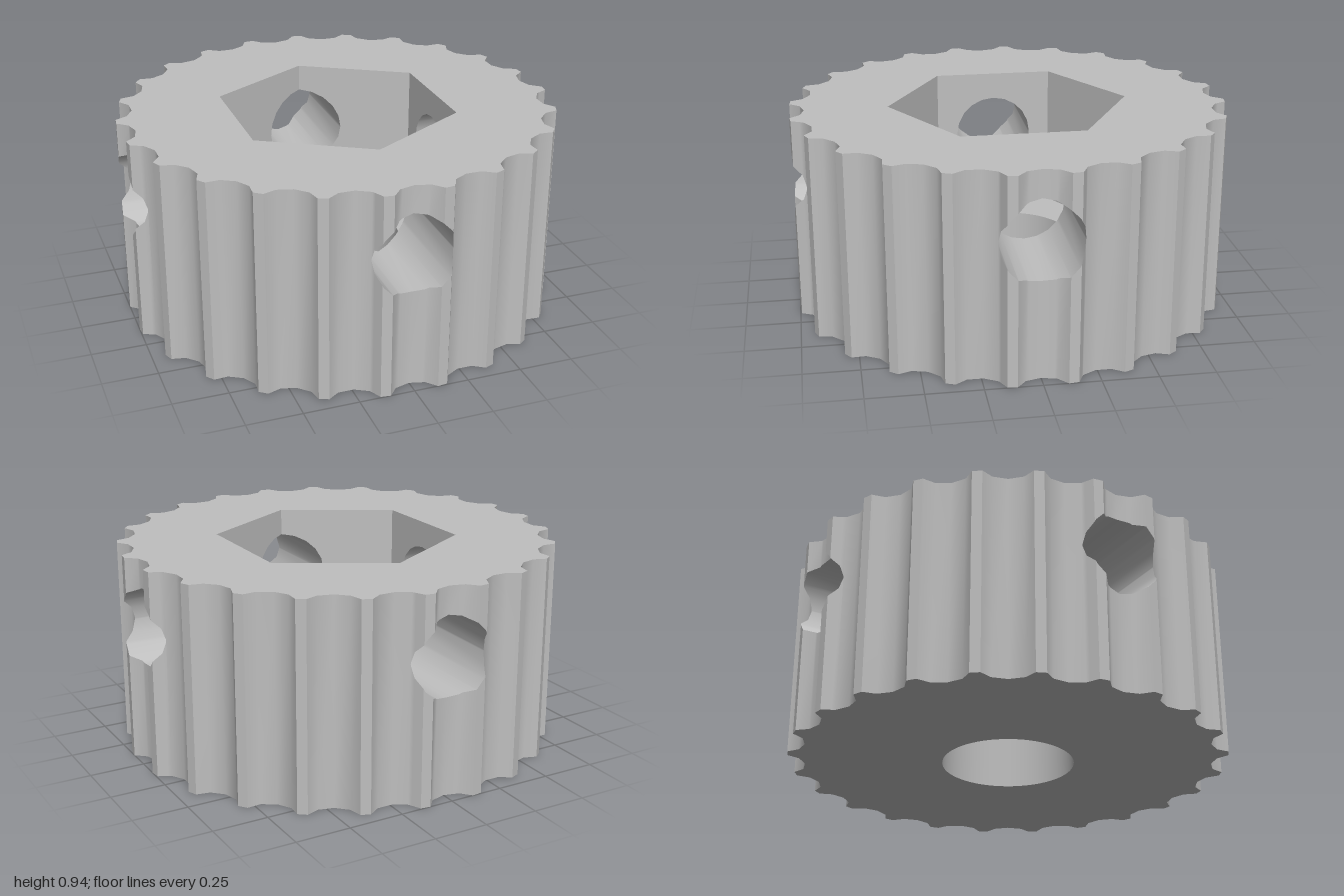
import * as THREE from 'three';
import { toCreasedNormals } from 'three/addons/utils/BufferGeometryUtils.js';

const HEIGHT = 0.94, FLOOR = 0.265, BORE = 0.303;
const HOLE_Y = 0.633, HOLE_R = 0.182, HOLE_SIDES = 20, FLUTES = 24;

// Half of one flute in plan: [sideways, outward] from its bottom to the tooth corner
const FLUTE = [[0, 0.935], [0.068, 0.953], [0.109, 1.0]];

// Plan loops of [x, z], running from +z towards +x
function outerLoop() {
  const profile = [...FLUTE.slice(1).reverse().map(([s, d]) => [-s, d]), ...FLUTE];
  const loop = [];
  for (let i = 0; i < FLUTES; i++) {
    const a = (i / FLUTES) * Math.PI * 2, c = Math.cos(a), n = Math.sin(a);
    for (const [s, d] of profile) loop.push([s * c + d * n, d * c - s * n]);
  }
  return loop;
}
const HEX = [[0, 0.555], [0.48, 0.2775], [0.48, -0.2775], [0, -0.555], [-0.48, -0.2775], [-0.48, 0.2775]];

// Upper corners of the side hole as [sideways, half height], from left to right
const arch = [];
for (let k = HOLE_SIDES / 2; k >= 0; k--) {
  const a = (k / HOLE_SIDES) * Math.PI * 2;
  arch.push([HOLE_R * Math.cos(a), HOLE_R * Math.sin(a)]);
}

// Straight-line interpolation along a list of [u, v]
function along(list, u) {
  for (let i = 1; i < list.length; i++) {
    const [u0, v0] = list[i - 1], [u1, v1] = list[i];
    if (u <= u1 + 1e-9) return v0 + (v1 - v0) * (u - u0) / (u1 - u0);
  }
  return list[list.length - 1][1];
}

const outer = outerLoop();

// Outer wall in front of one hole, as outward distance against sideways offset
const face = outer.filter(([x, z]) => z > 0.8 && Math.abs(x) < 0.3).sort((a, b) => a[0] - b[0]);

// Sideways offsets at which the walls and tunnels are sliced
const cuts = [...arch.map((p) => p[0]), ...face.map((p) => p[0]).filter((u) => Math.abs(u) < HOLE_R)]
  .sort((a, b) => a - b)
  .filter((u, i, list) => i === 0 || u - list[i - 1] > 1e-6);

const halfHeight = (x, z) => {
  const u = Math.min(Math.abs(x), Math.abs(z));
  return u < HOLE_R - 1e-6 ? along(arch, u) : 0;
};

const quad = (out, a, b, c, d) => out.push(...a, ...b, ...c, ...a, ...c, ...d);

function toGeometry(positions) {
  const geometry = new THREE.BufferGeometry();
  geometry.setAttribute('position', new THREE.Float32BufferAttribute(positions, 3));
  return toCreasedNormals(geometry, 0.6);
}

// Upright wall over a plan loop, left open where the four side holes pass
function wallGeometry(loop, y0, y1) {
  const out = [];
  loop.forEach((a, i) => {
    const b = loop[(i + 1) % loop.length];
    const ts = [0, 1];
    for (const axis of [0, 1]) {
      const run = b[axis] - a[axis];
      if (Math.abs(run) < 1e-6) continue;
      for (const u of cuts) {
        const t = (u - a[axis]) / run;
        if (t > 1e-4 && t < 1 - 1e-4) ts.push(t);
      }
    }
    ts.sort((p, q) => p - q);
    for (let k = 1; k < ts.length; k++) {
      const [p, q] = [ts[k - 1], ts[k]].map((t) => [a[0] + (b[0] - a[0]) * t, a[1] + (b[1] - a[1]) * t]);
      const hp = halfHeight(...p), hq = halfHeight(...q);
      const at = ([x, z], y) => [x, y, z];
      if (hp === 0 && hq === 0) {
        quad(out, at(p, y0), at(q, y0), at(q, y1), at(p, y1));
      } else {
        quad(out, at(p, y0), at(q, y0), at(q, HOLE_Y - hq), at(p, HOLE_Y - hp));
        quad(out, at(p, HOLE_Y + hp), at(q, HOLE_Y + hq), at(q, y1), at(p, y1));
      }
    }
  });
  return toGeometry(out);
}

// Lining of one side hole along +z, from the outer wall to the pocket
function tunnelGeometry(inner) {
  const out = [];
  for (let i = 1; i < cuts.length; i++) {
    const [p, q] = [cuts[i - 1], cuts[i]];
    const hp = along(arch, p), hq = along(arch, q);
    const fp = along(face, p), fq = along(face, q);
    const gp = inner(p), gq = inner(q);
    quad(out, [p, HOLE_Y - hp, fp], [q, HOLE_Y - hq, fq], [q, HOLE_Y - hq, gq], [p, HOLE_Y - hp, gp]);
    quad(out, [p, HOLE_Y + hp, gp], [q, HOLE_Y + hq, gq], [q, HOLE_Y + hq, fq], [p, HOLE_Y + hp, fp]);
  }
  return toGeometry(out);
}

// Flat face with an opening, facing up or down
function capGeometry(loop, opening, y, up) {
  const shape = new THREE.Shape(loop.map(([x, z]) => new THREE.Vector2(x, z)));
  shape.holes.push(opening);
  return new THREE.ShapeGeometry(shape, 32).rotateX(up ? -Math.PI / 2 : Math.PI / 2).translate(0, y, 0);
}

export function createModel() {
  const group = new THREE.Group();
  const grey = new THREE.MeshStandardMaterial({ color: 0xbfbfbf });
  grey.name = 'grey';
  const add = (name, geometry) => {
    const mesh = new THREE.Mesh(geometry, grey);
    mesh.name = name;
    group.add(mesh);
    return mesh;
  };

  const hexOpening = new THREE.Path(HEX.map(([x, z]) => new THREE.Vector2(x, z)));
  const boreOpening = new THREE.Path().absarc(0, 0, BORE, 0, Math.PI * 2);

  // Fluted body
  add('flutedRim', wallGeometry(outer, 0, HEIGHT));
  add('topFace', capGeometry(outer, hexOpening, HEIGHT, true));
  add('bottomFace', capGeometry(outer, boreOpening, 0, false));

  // Hexagonal pocket with a round bore below it
  add('pocketWall', wallGeometry([...HEX].reverse(), FLOOR, HEIGHT));
  add('pocketFloor', capGeometry(HEX, boreOpening, FLOOR, true));
  add('bore', new THREE.LatheGeometry([new THREE.Vector2(BORE, FLOOR), new THREE.Vector2(BORE, 0)], 64));

  // Four side holes: two meet pocket corners, two meet pocket flats
  const corner = (u) => 0.555 - Math.abs(u) * 0.2775 / 0.48;
  const flat = () => 0.48;
  for (let i = 0; i < 4; i++) {
    add('sideHole' + (i + 1), tunnelGeometry(i % 2 ? flat : corner)).rotation.y = i * Math.PI / 2;
  }
  return group;
}
